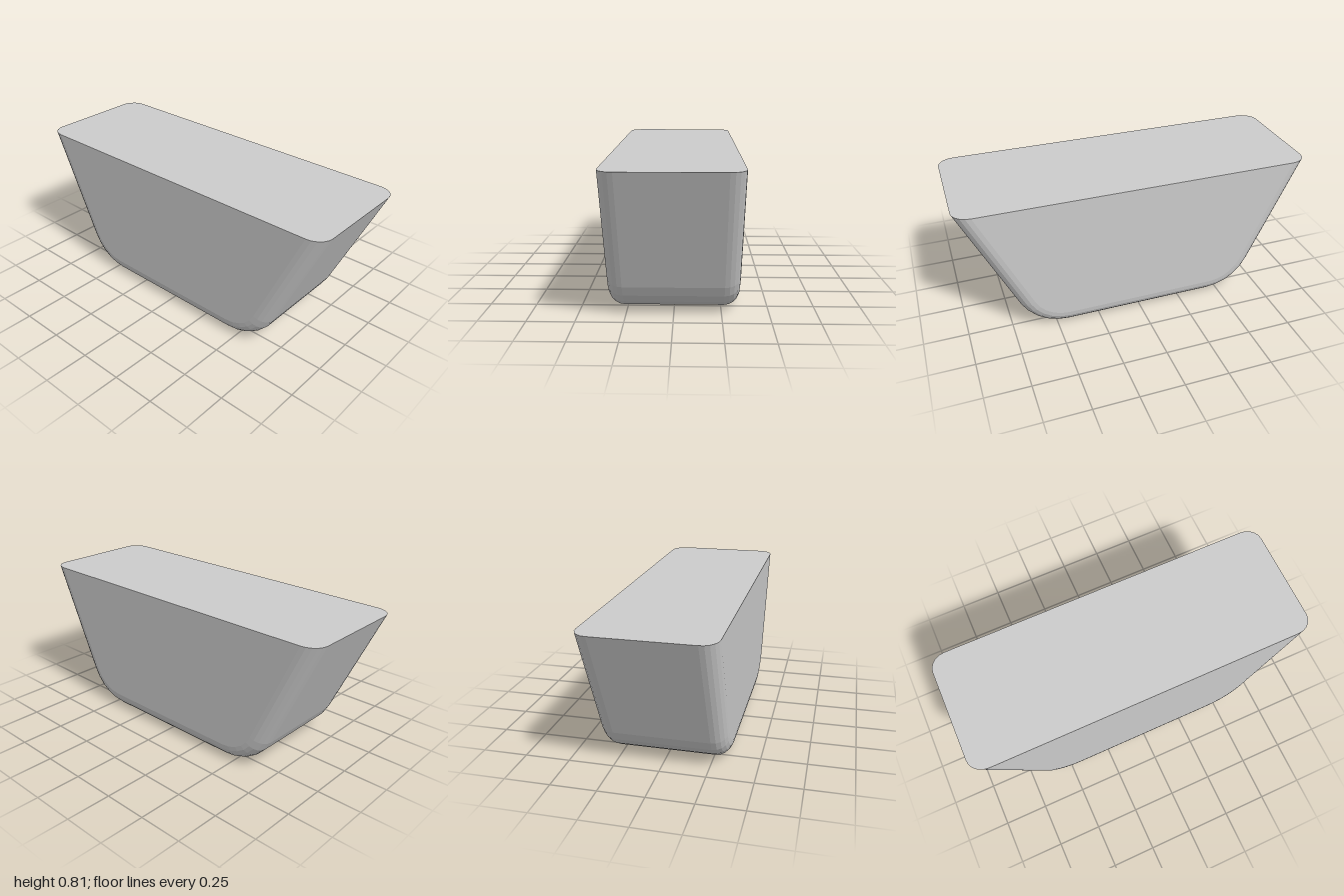
import * as THREE from 'three';

const HEIGHT = 0.81, HALF_TOP = 1, HALF_DEPTH = 0.348;
const WALL = THREE.MathUtils.degToRad(65); // slope of the end walls
const CORNER = 0.295;                      // radius of the lower corners
const EDGE = 0.085;                        // rounding along the front and back rims
const STEPS = 5;

// Half of the front outline, moved inwards by d: top of the wall, then the lower corner
function halfOutline(d) {
  const foot = HALF_TOP - HEIGHT / Math.tan(WALL);
  const cx = foot - CORNER * Math.tan(WALL / 2);
  const r = CORNER - d;
  const points = [[HALF_TOP - d / Math.sin(WALL), HEIGHT]];
  for (let i = STEPS; i >= 0; i--) {
    const a = WALL * i / STEPS;
    points.push([cx + r * Math.sin(a), CORNER - r * Math.cos(a)]);
  }
  return points;
}

function section(d, z) {
  const half = halfOutline(d);
  const mirrored = half.map(([x, y]) => [-x, y]).reverse();
  return [...half, ...mirrored].map(([x, y]) => [x, y, z]);
}

function bodyGeometry() {
  // Cross-sections from front to back, following the rounded rims
  const front = [], back = [];
  for (let k = 0; k <= STEPS; k++) {
    const t = Math.PI / 2 * k / STEPS;
    const d = EDGE * (1 - Math.sin(t));
    const z = HALF_DEPTH - EDGE * (1 - Math.cos(t));
    front.push(section(d, z));
    back.unshift(section(d, -z));
  }
  const sections = [...front, ...back];
  const last = sections.length - 1;
  const positions = [];
  const fan = (loop) => {
    for (let i = 1; i < loop.length - 1; i++) positions.push(...loop[0], ...loop[i], ...loop[i + 1]);
  };

  // End walls, floor and rounded rims
  for (let j = 0; j < last; j++) {
    const p = sections[j], q = sections[j + 1];
    for (let i = 0; i < p.length - 1; i++) fan([p[i], p[i + 1], q[i + 1], q[i]]);
  }
  // Front and back faces
  fan([...sections[0]].reverse());
  fan(sections[last]);
  // Flat top
  fan([...sections.map((s) => s[0]), ...sections.map((s) => s[s.length - 1]).reverse()]);

  const geometry = new THREE.BufferGeometry();
  geometry.setAttribute('position', new THREE.Float32BufferAttribute(positions, 3));
  geometry.computeVertexNormals();
  return geometry;
}

export function createModel() {
  const group = new THREE.Group();
  group.name = 'taperedBlock';
  const material = new THREE.MeshStandardMaterial({ color: 0xcccccc, flatShading: true });
  const body = new THREE.Mesh(bodyGeometry(), material);
  body.name = 'body';
  group.add(body);
  return group;
}
